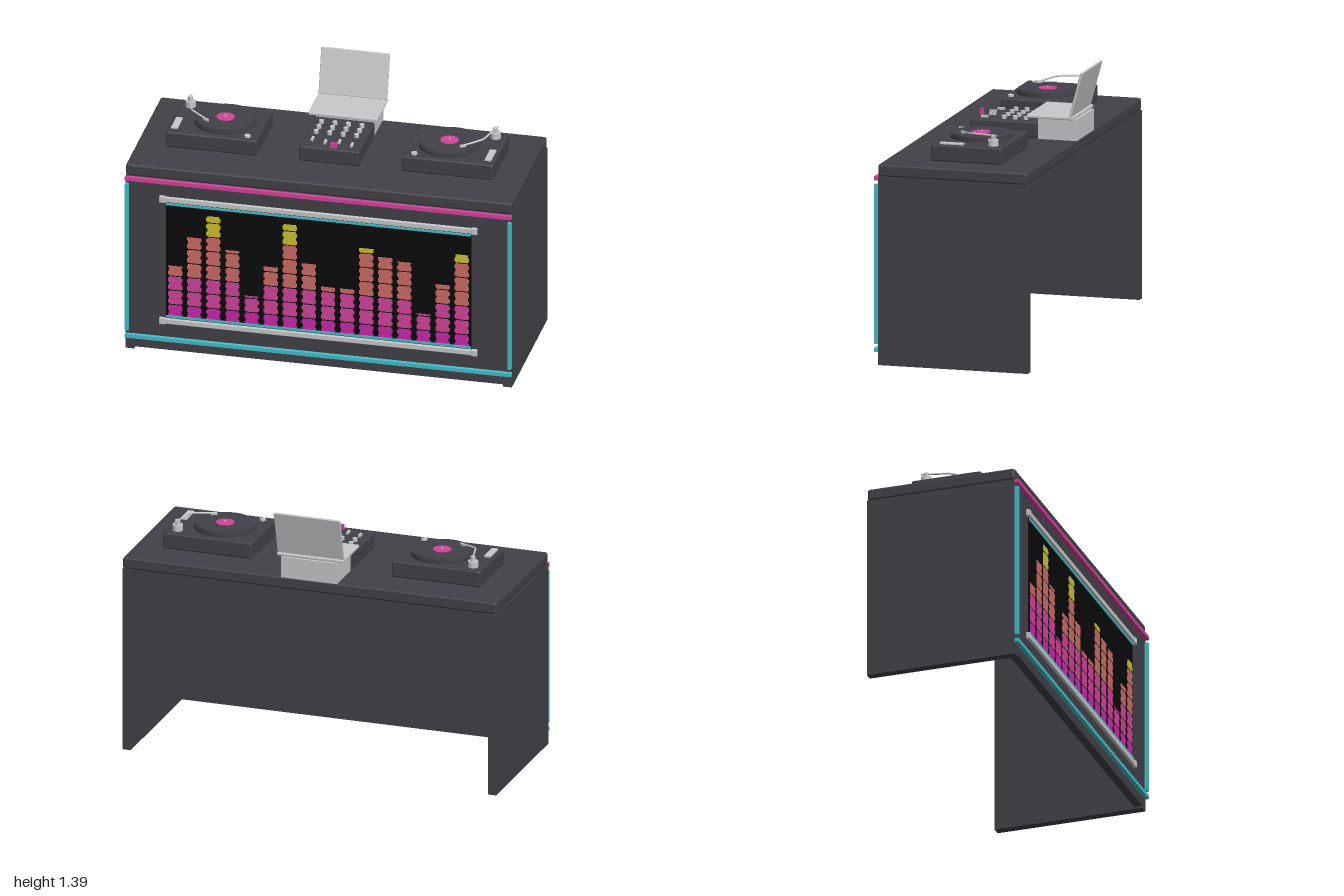
import * as THREE from 'three';
import { mergeGeometries } from 'three/addons/utils/BufferGeometryUtils.js';
import { RoundedBoxGeometry } from 'three/addons/geometries/RoundedBoxGeometry.js';

const mat = (name, color) => Object.assign(new THREE.MeshStandardMaterial({ color }), { name });

export function createModel() {
  const charcoal = mat('charcoal', 0x424147);
  const black = mat('screen black', 0x0a0a0a);
  const silver = mat('silver', 0xc8c9cb);
  const cyan = mat('cyan', 0x45bfcc);
  const pink = mat('pink', 0xd4439c);
  const magenta = mat('magenta', 0xcc28ac);
  const coral = mat('coral', 0xcf6d66);
  const yellow = mat('yellow', 0xcfc233);

  const model = new THREE.Group();
  model.name = 'djBooth';

  function add(parent, name, geometry, material, x = 0, y = 0, z = 0) {
    const mesh = new THREE.Mesh(geometry, material);
    mesh.name = name;
    mesh.position.set(x, y, z);
    parent.add(mesh);
    return mesh;
  }
  // Box given by its minimum and maximum on each axis; r rounds the edges
  function box(parent, name, material, x0, x1, y0, y1, z0, z1, r = 0) {
    const s = [x1 - x0, y1 - y0, z1 - z0];
    const g = r ? new RoundedBoxGeometry(...s, 2, r) : new THREE.BoxGeometry(...s);
    return add(parent, name, g, material, (x0 + x1) / 2, (y0 + y1) / 2, (z0 + z1) / 2);
  }
  function disc(parent, name, material, r, y0, y1, x, z, sides = 40) {
    return add(parent, name, new THREE.CylinderGeometry(r, r, y1 - y0, sides), material, x, (y0 + y1) / 2, z);
  }
  function group(name) {
    const g = new THREE.Group();
    g.name = name;
    model.add(g);
    return g;
  }

  // Desk, open at the back
  const desk = group('desk');
  box(desk, 'deskTop', charcoal, -1, 1, 0.97, 1.033, -0.382, 0.405, 0.012);
  box(desk, 'frontPanel', charcoal, -0.955, 0.955, 0.012, 0.97, 0.36, 0.404);
  for (const s of [-1, 1]) {
    box(desk, 'sidePanel', charcoal, s * 0.9775 - 0.0225, s * 0.9775 + 0.0225, 0, 0.97, -0.385, 0.405);
  }

  // Light strips around the front
  const strips = group('lightStrips');
  box(strips, 'topStrip', pink, -1, 1, 0.95, 0.97, 0.404, 0.425);
  box(strips, 'bottomStrip', cyan, -1, 1, 0.066, 0.086, 0.404, 0.425);
  for (const s of [-1, 1]) {
    box(strips, 'sideStrip', cyan, s * 0.991 - 0.009, s * 0.991 + 0.009, 0.108, 0.93, 0.404, 0.425);
  }

  // Screen with its rails
  const screen = group('screen');
  box(screen, 'screenPanel', black, -0.79, 0.79, 0.195, 0.845, 0.404, 0.409);
  for (const [y, lineY] of [[0.862, 0.836], [0.178, 0.204]]) {
    box(screen, 'rail', silver, -0.81, 0.81, y - 0.014, y + 0.014, 0.404, 0.421, 0.004);
    for (const s of [-1, 1]) {
      box(screen, 'railEnd', silver, s * 0.808 - 0.016, s * 0.808 + 0.016, y - 0.018, y + 0.018, 0.404, 0.423, 0.004);
    }
    box(screen, 'screenLine', cyan, -0.79, 0.79, lineY - 0.006, lineY + 0.006, 0.409, 0.414);
  }

  // Equaliser bars: stacked plates, coloured by height
  const heights = [0.49, 0.66, 0.79, 0.61, 0.365, 0.54, 0.79, 0.58, 0.46, 0.46, 0.70, 0.66, 0.645, 0.365, 0.54, 0.72];
  const bands = [
    { top: 0.27, material: magenta }, { top: 0.43, material: pink },
    { top: 0.67, material: coral }, { top: 1, material: yellow },
  ].map((b) => ({ ...b, plates: [] }));
  heights.forEach((h, i) => {
    const x = (i - 7.5) * 0.0989;
    const plate = (w, y0, y1) => {
      y0 = Math.max(y0, 0.212);
      y1 = Math.min(y1, h);
      if (y1 - y0 < 0.003) return;
      const g = new THREE.BoxGeometry(w, y1 - y0, 0.004);
      g.translate(x, (y0 + y1) / 2, 0.411);
      bands.find((b) => (y0 + y1) / 2 < b.top).plates.push(g);
    };
    for (let row = 0; row < 16; row++) {
      const y = 0.19 + row * 0.04;
      plate(0.062, y + (row % 2 ? 0 : 0.007), y + 0.012);
      plate(0.074, y + 0.012, y + 0.032);
      plate(0.062, y + 0.032, y + 0.04);
    }
  });
  for (const b of bands) add(screen, 'equaliserBars', mergeGeometries(b.plates), b.material);

  // Turntables, mirrored left and right
  for (const s of [-1, 1]) {
    const deck = group(s > 0 ? 'leftTurntable' : 'rightTurntable');
    const px = s * 0.58, ax = s * 0.79;
    box(deck, 'turntableBase', charcoal, s * 0.611 - 0.237, s * 0.611 + 0.237, 1.034, 1.12, -0.2, 0.173, 0.01);
    disc(deck, 'platter', charcoal, 0.157, 1.118, 1.136, px, -0.015, 48);
    disc(deck, 'record', charcoal, 0.15, 1.136, 1.143, px, -0.015, 48);
    disc(deck, 'recordLabel', pink, 0.047, 1.142, 1.146, px, -0.015, 24);
    disc(deck, 'spindle', silver, 0.005, 1.145, 1.155, px, -0.015, 8);
    box(deck, 'pitchSlider', silver, s * 0.812 - 0.017, s * 0.812 + 0.017, 1.118, 1.127, 0.008, 0.13);
    disc(deck, 'startButton', silver, 0.016, 1.118, 1.13, s * 0.432, 0.135, 12);
    disc(deck, 'armBase', silver, 0.027, 1.118, 1.152, ax, -0.14, 16);
    disc(deck, 'armPivot', silver, 0.013, 1.15, 1.176, ax, -0.14, 12);
    const path = new THREE.CatmullRomCurve3([
      new THREE.Vector3(ax + s * 0.008, 1.17, -0.165),
      new THREE.Vector3(s * 0.782, 1.172, -0.11),
      new THREE.Vector3(s * 0.755, 1.17, -0.01),
      new THREE.Vector3(s * 0.73, 1.166, 0.012),
      new THREE.Vector3(s * 0.66, 1.156, 0.06),
    ]);
    add(deck, 'toneArm', new THREE.TubeGeometry(path, 24, 0.005, 8), silver);
    const head = add(deck, 'cartridge', new THREE.BoxGeometry(0.032, 0.01, 0.014), silver, s * 0.665, 1.154, 0.057);
    head.rotation.y = s * 0.6;
  }

  // Mixer with knobs and faders
  const mixer = group('mixer');
  box(mixer, 'mixerBase', charcoal, -0.155, 0.155, 1.034, 1.118, -0.18, 0.173, 0.01);
  [-0.105, -0.035, 0.035, 0.105].forEach((x, i) => {
    for (const z of [-0.105, -0.048, 0.01]) {
      disc(mixer, 'knob', silver, 0.013, 1.116, 1.136, x, z, 8);
    }
    const z = [0.088, 0.108, 0.09, 0.112][i];
    box(mixer, 'fader', silver, x - 0.006, x + 0.006, 1.116, 1.13, z - 0.018, z + 0.018);
  });
  box(mixer, 'crossfader', pink, 0.002, 0.037, 1.116, 1.145, 0.146, 0.158);

  // Laptop on its stand
  const laptop = group('laptop');
  box(laptop, 'laptopStand', silver, -0.15, 0.15, 1.033, 1.143, -0.388, -0.182);
  box(laptop, 'laptopBase', silver, -0.178, 0.178, 1.143, 1.159, -0.377, -0.13, 0.005);
  const lid = box(laptop, 'laptopLid', silver, -0.178, 0.178, 1.153, 1.393, -0.398, -0.386, 0.004);
  lid.position.z = -0.389;
  lid.rotation.x = -0.26;
  return model;
}
